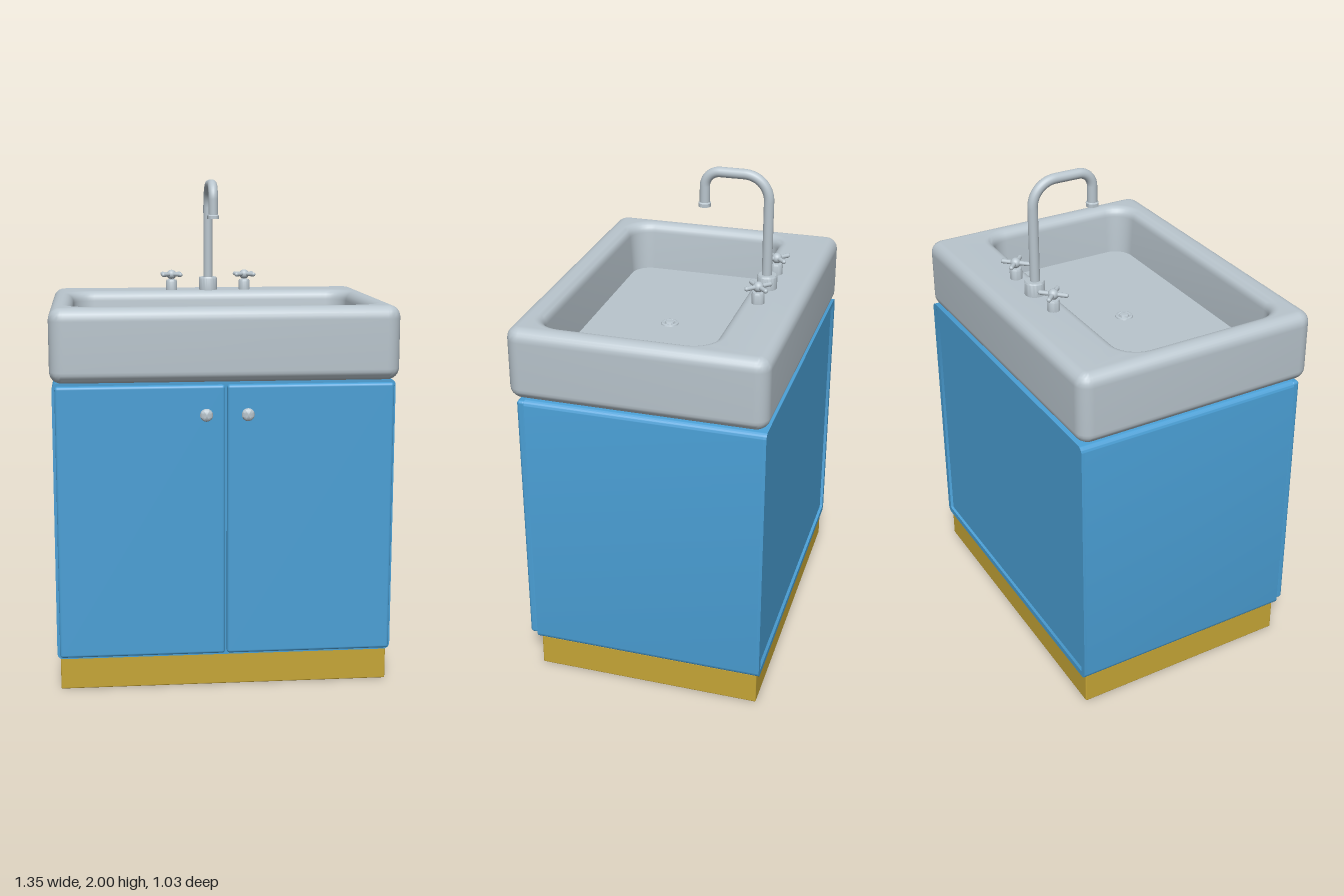
import * as THREE from 'three';
import { toCreasedNormals } from 'three/addons/utils/BufferGeometryUtils.js';
import { RoundedBoxGeometry } from 'three/addons/geometries/RoundedBoxGeometry.js';

const material = (name, color) => {
  const m = new THREE.MeshStandardMaterial({ color });
  m.name = name;
  return m;
};

// Rounded rectangle in plan, counter-clockwise from above
function planLoop({ x, z0, z1, r, y }, steps = 8) {
  const pts = [];
  const corners = [[x - r, z1 - r, -90], [x - r, z0 + r, 0], [-x + r, z0 + r, 90], [-x + r, z1 - r, 180]];
  for (const [cx, cz, start] of corners) {
    for (let i = 0; i <= steps; i++) {
      const a = THREE.MathUtils.degToRad(start + (90 * i) / steps);
      pts.push(cx + r * Math.cos(a), y, cz - r * Math.sin(a));
    }
  }
  return pts;
}

// Skin joining a list of plan loops
function loft(loops) {
  const rings = loops.map((l) => planLoop(l));
  const n = rings[0].length / 3;
  const index = [];
  for (let i = 0; i < rings.length - 1; i++) {
    for (let j = 0; j < n; j++) {
      const a = i * n + j, b = i * n + ((j + 1) % n);
      index.push(a, b, b + n, a, b + n, a + n);
    }
  }
  const g = new THREE.BufferGeometry();
  g.setAttribute('position', new THREE.Float32BufferAttribute(rings.flat(), 3));
  g.setIndex(index);
  return toCreasedNormals(g, 0.7);
}

function roundedRect(Type, w, h, r) {
  const s = new Type(), x = w / 2, y = h / 2;
  s.moveTo(-x + r, -y);
  s.lineTo(x - r, -y).absarc(x - r, -y + r, r, -Math.PI / 2, 0);
  s.lineTo(x, y - r).absarc(x - r, y - r, r, 0, Math.PI / 2);
  s.lineTo(-x + r, y).absarc(-x + r, y - r, r, Math.PI / 2, Math.PI);
  s.lineTo(-x, -y + r).absarc(-x + r, -y + r, r, Math.PI, Math.PI * 1.5);
  return s;
}

const extrude = (shape, depth) =>
  toCreasedNormals(new THREE.ExtrudeGeometry(shape, { depth, bevelEnabled: false, curveSegments: 8 }), 0.6);

const lathe = (profile, segments = 32) =>
  toCreasedNormals(new THREE.LatheGeometry(profile.map(([r, y]) => new THREE.Vector2(r, y)), segments), 0.6);

export function createModel() {
  const model = new THREE.Group();
  model.name = 'sinkCabinet';
  const blue = material('bluePaint', 0x4a9fd5);
  const grey = material('greyEnamel', 0xb9c5cd);
  const yellow = material('yellowPlinth', 0xc6a536);

  const add = (name, geometry, mat, x = 0, y = 0, z = 0, parent = model) => {
    const mesh = new THREE.Mesh(geometry, mat);
    mesh.name = name;
    mesh.position.set(x, y, z);
    parent.add(mesh);
    return mesh;
  };

  // Plinth
  add('plinth', new RoundedBoxGeometry(1.31, 0.135, 0.915, 2, 0.005), yellow, 0, 0.0675, -0.0425);

  // Cabinet body, with a rim around a slightly sunken back panel
  add('cabinetBody', extrude(roundedRect(THREE.Shape, 1.335, 1.105, 0.025), 0.93), blue, 0, 0.6825, -0.5);
  const rim = roundedRect(THREE.Shape, 1.335, 1.105, 0.025);
  rim.holes.push(roundedRect(THREE.Path, 1.285, 1.055, 0.006));
  add('backRim', extrude(rim, 0.012), blue, 0, 0.6825, -0.512);

  // Doors and knobs
  const knob = lathe([[0, 0], [0.012, 0], [0.012, 0.02], [0.018, 0.023], [0.024, 0.03],
    [0.025, 0.037], [0.021, 0.045], [0.012, 0.05], [0, 0.051]]);
  knob.rotateX(Math.PI / 2);
  for (const [side, s] of [['left', 1], ['right', -1]]) {
    add(side + 'Door', new RoundedBoxGeometry(0.652, 1.08, 0.035, 4, 0.012), blue, s * 0.33, 0.685, 0.4475);
    add(side + 'Knob', knob, grey, s * 0.08, 1.115, 0.464);
  }

  // Basin: up the outside, over the rounded rim and down to the floor
  const loops = [];
  const outer = (inset, y) => loops.push({ x: 0.675 - inset, z0: -0.515 + inset, z1: 0.495 - inset, r: Math.max(0.055 - inset, 0.005), y });
  const inner = (grow, y) => loops.push({ x: 0.575 + grow, z0: -0.268 - grow, z1: 0.38 + grow, r: 0.08 + grow, y });
  const R = 0.045, bottom = 1.237, top = 1.525, floor = 1.32;
  loops.push({ x: 0.001, z0: -0.011, z1: -0.009, r: 0.0005, y: bottom });
  for (let i = 0; i <= 6; i++) {
    const a = (i / 6) * Math.PI / 2;
    outer(R * (1 - Math.sin(a)), bottom + R * (1 - Math.cos(a)));
  }
  outer(0, bottom + R + 0.005);
  outer(0, top - R - 0.005);
  for (let i = 0; i <= 6; i++) {
    const a = (i / 6) * Math.PI / 2;
    outer(R * (1 - Math.cos(a)), top - R * (1 - Math.sin(a)));
  }
  outer(R + 0.003, top);
  inner(0.052, top);
  for (let i = 0; i <= 6; i++) {
    const a = (i / 6) * Math.PI / 2;
    inner(0.01 + 0.04 * (1 - Math.sin(a)), top - 0.04 * (1 - Math.cos(a)));
  }
  inner(0, floor);
  loops.push({ x: 0.001, z0: 0.054, z1: 0.056, r: 0.0005, y: floor });
  add('basin', loft(loops), grey);

  // Drain
  add('drain', lathe([[0.037, 0], [0.035, 0.005], [0.028, 0.007], [0.02, 0.004], [0.018, 0.009], [0.01, 0.012], [0, 0.013]]),
    grey, 0, floor, 0.055);

  // Faucet
  const faucet = new THREE.Group();
  faucet.name = 'faucet';
  model.add(faucet);
  add('faucetBase', lathe([[0, 0], [0.04, 0], [0.04, 0.052], [0.036, 0.058], [0, 0.058]]), grey, 0, 1.523, -0.348, faucet);
  const v = (y, z) => new THREE.Vector3(0, y, z);
  const path = new THREE.CurvePath();
  path.add(new THREE.LineCurve3(v(1.55, -0.346), v(1.88, -0.346)));
  path.add(new THREE.CubicBezierCurve3(v(1.88, -0.346), v(1.937, -0.346), v(1.98, -0.303), v(1.98, -0.246)));
  path.add(new THREE.LineCurve3(v(1.98, -0.246), v(1.98, -0.15)));
  path.add(new THREE.CubicBezierCurve3(v(1.98, -0.15), v(1.98, -0.117), v(1.953, -0.09), v(1.92, -0.09)));
  path.add(new THREE.LineCurve3(v(1.92, -0.09), v(1.845, -0.09)));
  add('spout', new THREE.TubeGeometry(path, 80, 0.02, 20), grey, 0, 0, 0, faucet);
  add('spoutTip', lathe([[0, 0.004], [0.018, 0.004], [0.019, 0], [0.025, 0], [0.025, 0.014], [0.02, 0.018]]), grey, 0, 1.838, -0.09, faucet);

  // Cross-handled taps
  const body = lathe([[0, 0], [0.025, 0], [0.025, 0.038], [0.021, 0.046], [0.011, 0.048], [0.011, 0.07]], 24);
  const bar = new THREE.CapsuleGeometry(0.009, 0.105, 6, 12);
  for (const [side, s] of [['left', 1], ['right', -1]]) {
    const tap = new THREE.Group();
    tap.name = side + 'Tap';
    tap.position.set(s * 0.16, 1.523, -0.35);
    model.add(tap);
    add('tapBody', body, grey, 0, 0, 0, tap);
    add('tapHub', new THREE.SphereGeometry(0.021, 20, 14), grey, 0, 0.068, 0, tap);
    for (const turn of [1, -1]) {
      const arm = add('tapCrossBar', bar, grey, 0, 0.069, 0, tap);
      arm.rotation.set(Math.PI / 2, 0, turn * Math.PI / 4);
    }
  }
  return model;
}
